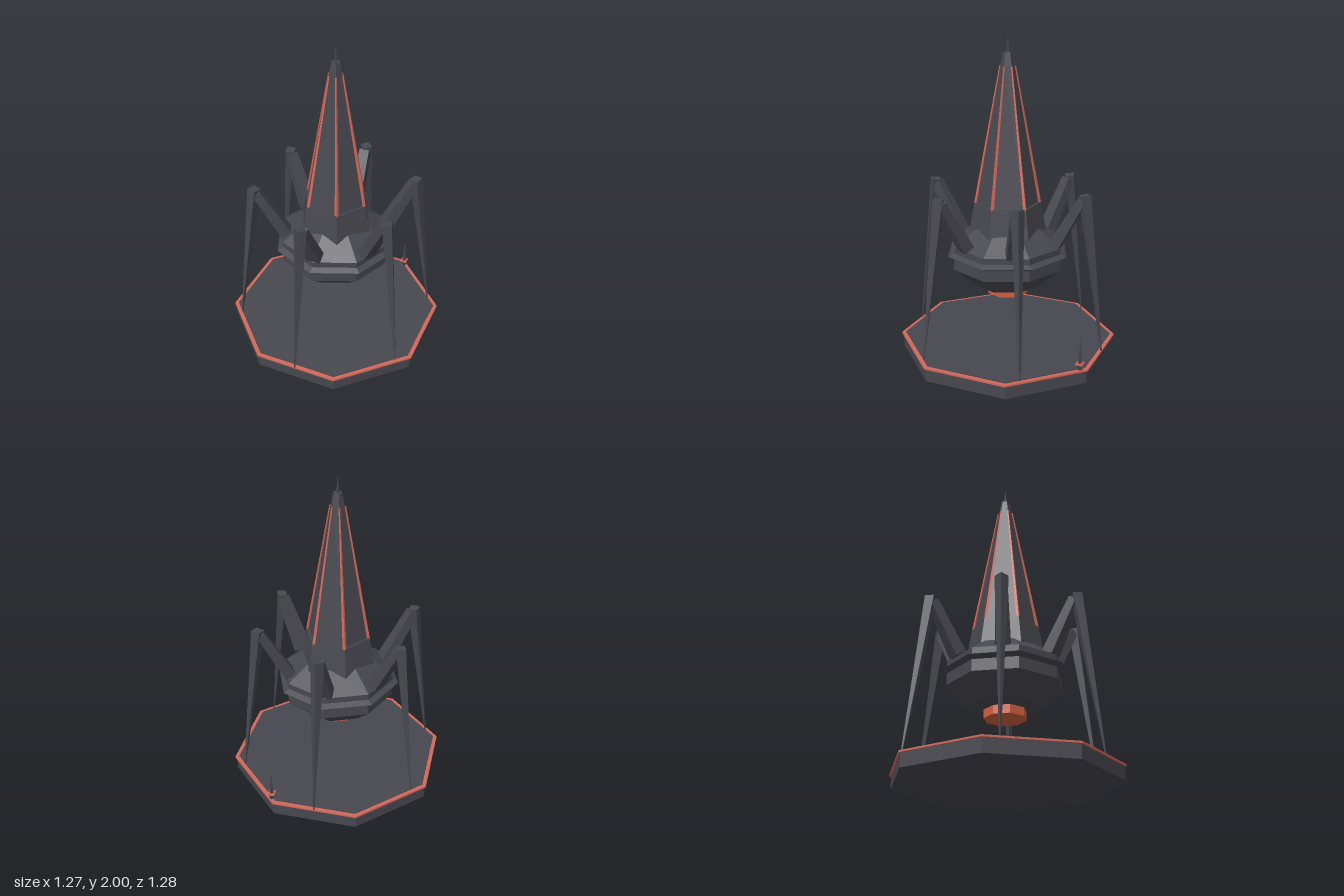
import * as THREE from 'three';

const mat = (name, color) => {
  const m = new THREE.MeshStandardMaterial({ color, flatShading: true });
  m.name = name;
  return m;
};

export function createModel() {
  const model = new THREE.Group();
  model.name = 'spiderTower';
  const hull = mat('charcoal hull', 0x47474f);
  const trim = mat('coral trim', 0xd0685a);
  const glow = mat('orange core', 0xd2603f);

  const add = (name, geometry, material, parent = model) => {
    const mesh = new THREE.Mesh(geometry, material);
    mesh.name = name;
    parent.add(mesh);
    return mesh;
  };
  // Faceted solid of revolution from [radius, height] pairs, bottom to top
  const turned = (name, profile, sides, turn, material, parent) => {
    const points = profile.map(([r, y]) => new THREE.Vector2(r, y));
    return add(name, new THREE.LatheGeometry(points, sides).rotateY(turn), material, parent);
  };
  // Tapered four-sided beam between two [height, reach] points in the yz plane
  const beam = (name, from, to, r0, r1, turn, depth, material, parent) => {
    const a = new THREE.Vector3(0, ...from), b = new THREE.Vector3(0, ...to);
    const dir = b.clone().sub(a);
    const geo = new THREE.CylinderGeometry(r1, r0, dir.length(), 4).rotateY(turn).scale(1, 1, depth);
    const mesh = add(name, geo, material, parent);
    mesh.quaternion.setFromUnitVectors(new THREE.Vector3(0, 1, 0), dir.normalize());
    mesh.position.copy(a.add(b).multiplyScalar(0.5));
  };
  const slab = (r, y0, y1) => [[0, y0], [r, y0], [r, y1], [0, y1]];

  // Octagonal platform with a coral rim
  const oct = Math.PI / 8, corner = 1 / Math.cos(oct);
  turned('platform', slab(0.626 * corner, 0, 0.081), 8, oct, hull);
  turned('platformRim', slab(0.636 * corner, 0.081, 0.092), 8, oct, trim);
  turned('platformFloor', slab(0.612 * corner, 0.085, 0.096), 8, oct, hull);

  // Hanging body, its sharp belt and the core below
  turned('body', [[0, 0.445], [0.13, 0.445], [0.22, 0.46], [0.355, 0.58], [0.355, 0.725], [0.17, 0.855], [0, 0.87]],
    8, 0, hull);
  turned('belt', [[0.34, 0.645], [0.392, 0.67], [0.34, 0.695]], 8, 0, hull);
  turned('core', slab(0.13, 0.392, 0.47), 8, 0, glow);

  // Slightly twisted hexagonal tower
  const twist = THREE.MathUtils.degToRad(25.4);
  turned('collar', [[0.245, 0.76], [0.237, 0.81], [0.207, 0.98], [0, 0.98]], 6, twist, hull);
  turned('spire', [[0.195, 0.97], [0.043, 1.82], [0.028, 1.9], [0, 1.9]], 6, twist, hull);
  turned('needle', [[0.011, 1.89], [0.007, 1.94], [0, 2]], 4, 0, hull);

  // Coral strips on the six spire edges and six jointed legs
  for (let i = 0; i < 6; i++) {
    const edge = new THREE.Group();
    edge.name = 'spireStrip' + (i + 1);
    edge.rotation.y = twist + i * Math.PI / 3;
    beam('strip', [0.97, 0.197], [1.82, 0.045], 0.012, 0.005, 0, 1, trim, edge);

    const leg = new THREE.Group();
    leg.name = 'leg' + (i + 1);
    leg.rotation.y = i * Math.PI / 3;
    beam('upperLeg', [0.74, 0.315], [1.055, 0.49], 0.064, 0.046, Math.PI / 4, 0.8, hull, leg);
    beam('lowerLeg', [1.08, 0.5], [0.09, 0.634], 0.041, 0.005, 0, 1, hull, leg);
    model.add(edge, leg);
  }

  // Small beacon near the back edge of the platform
  const beacon = new THREE.Group();
  beacon.name = 'beacon';
  beacon.position.set(0.28, 0.09, -0.59);
  turned('beaconSpike', [[0.018, 0], [0.012, 0.07], [0, 0.21]], 4, 0, hull, beacon);
  add('beaconPlate', new THREE.BoxGeometry(0.044, 0.009, 0.044), trim, beacon).position.y = 0.04;
  model.add(beacon);

  return model;
}
